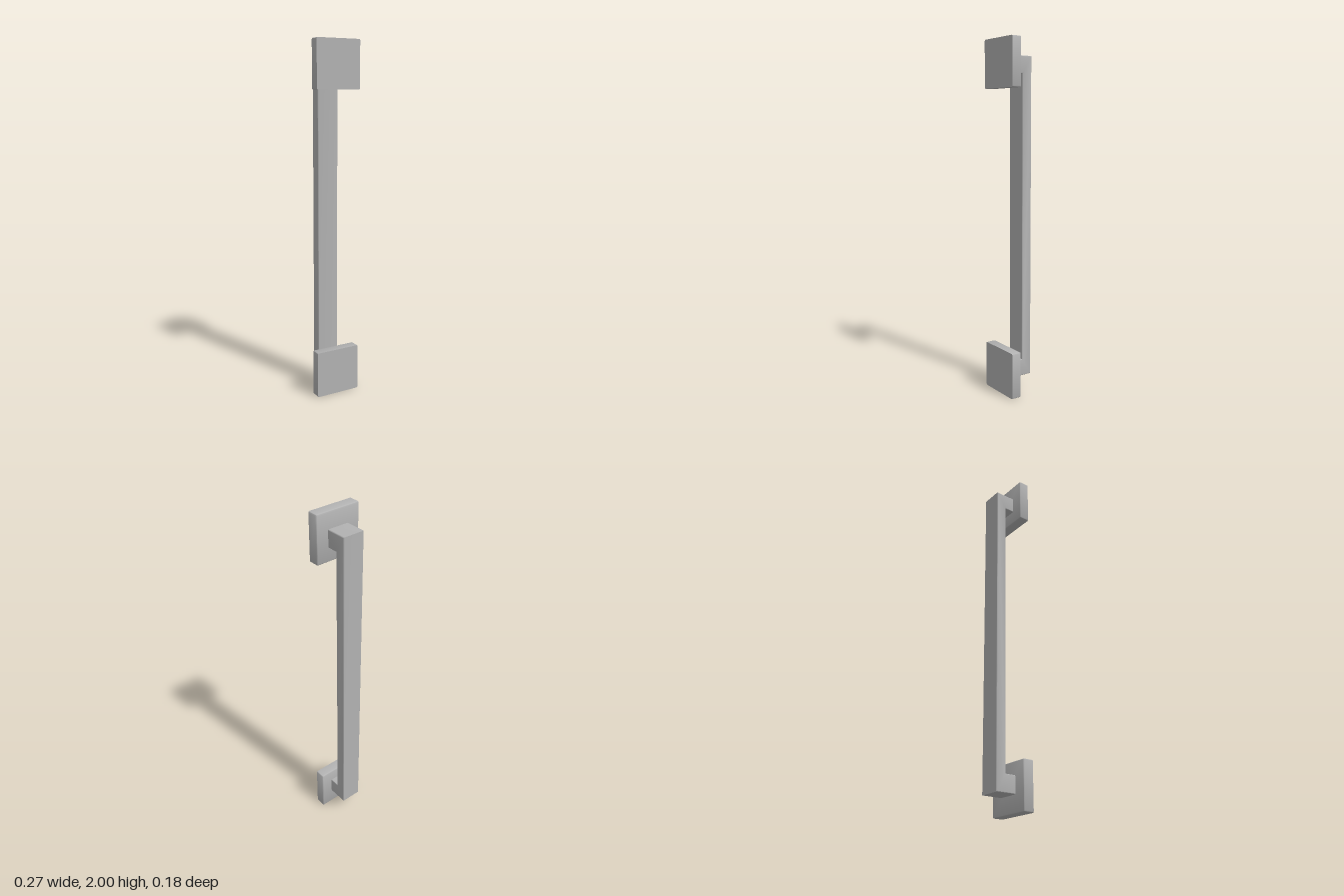
import * as THREE from 'three';
import { toCreasedNormals } from 'three/addons/utils/BufferGeometryUtils.js';
import { RoundedBoxGeometry } from 'three/addons/geometries/RoundedBoxGeometry.js';

const PLATE = 0.266, PLATE_BACK = 0.028, PLATE_FRONT = 0.088, PLATE_ROUND = 0.008;
const BAR_WIDTH = 0.126, BAR_BEVEL = 0.005;

// Square plate with rounded edges, except for a flat, sharp-edged front
function plateGeometry() {
  const depth = PLATE_FRONT - PLATE_BACK + PLATE_ROUND;
  const geo = new RoundedBoxGeometry(PLATE, PLATE, depth, 3, PLATE_ROUND);
  geo.translate(0, 0, PLATE_BACK + depth / 2);
  const pos = geo.attributes.position;
  for (let i = 0; i < pos.count; i++) pos.setZ(i, Math.min(pos.getZ(i), PLATE_FRONT));
  return toCreasedNormals(geo, 0.6);
}

// Long bar with a short leg at each end, drawn from the side as (z, y)
function handleGeometry() {
  const back = -0.09, inner = -0.03, tip = PLATE_BACK + 0.015;
  const shape = new THREE.Shape([
    [back, 0.094], [tip, 0.094], [tip, 0.192], [inner, 0.192],
    [inner, 1.812], [tip, 1.812], [tip, 1.908], [back, 1.908],
  ].map(([z, y]) => new THREE.Vector2(z, y)));
  const depth = BAR_WIDTH - 2 * BAR_BEVEL;
  const geo = new THREE.ExtrudeGeometry(shape, {
    depth, bevelEnabled: true, bevelSize: BAR_BEVEL, bevelThickness: BAR_BEVEL,
    bevelOffset: -BAR_BEVEL, bevelSegments: 3,
  });
  geo.translate(0, 0, -depth / 2);
  geo.rotateY(-Math.PI / 2);
  return toCreasedNormals(geo, 0.6);
}

export function createModel() {
  const group = new THREE.Group();
  group.name = 'pullHandle';
  const metal = new THREE.MeshStandardMaterial({ color: 0xb2b2b2 });
  metal.name = 'grey metal';

  const handle = new THREE.Mesh(handleGeometry(), metal);
  handle.name = 'handleBar';
  group.add(handle);

  // Mounting plates at both ends
  const plateGeo = plateGeometry();
  for (const [name, y] of [['lowerPlate', PLATE / 2], ['upperPlate', 2 - PLATE / 2]]) {
    const plate = new THREE.Mesh(plateGeo, metal);
    plate.name = name;
    plate.position.y = y;
    group.add(plate);
  }
  return group;
}
